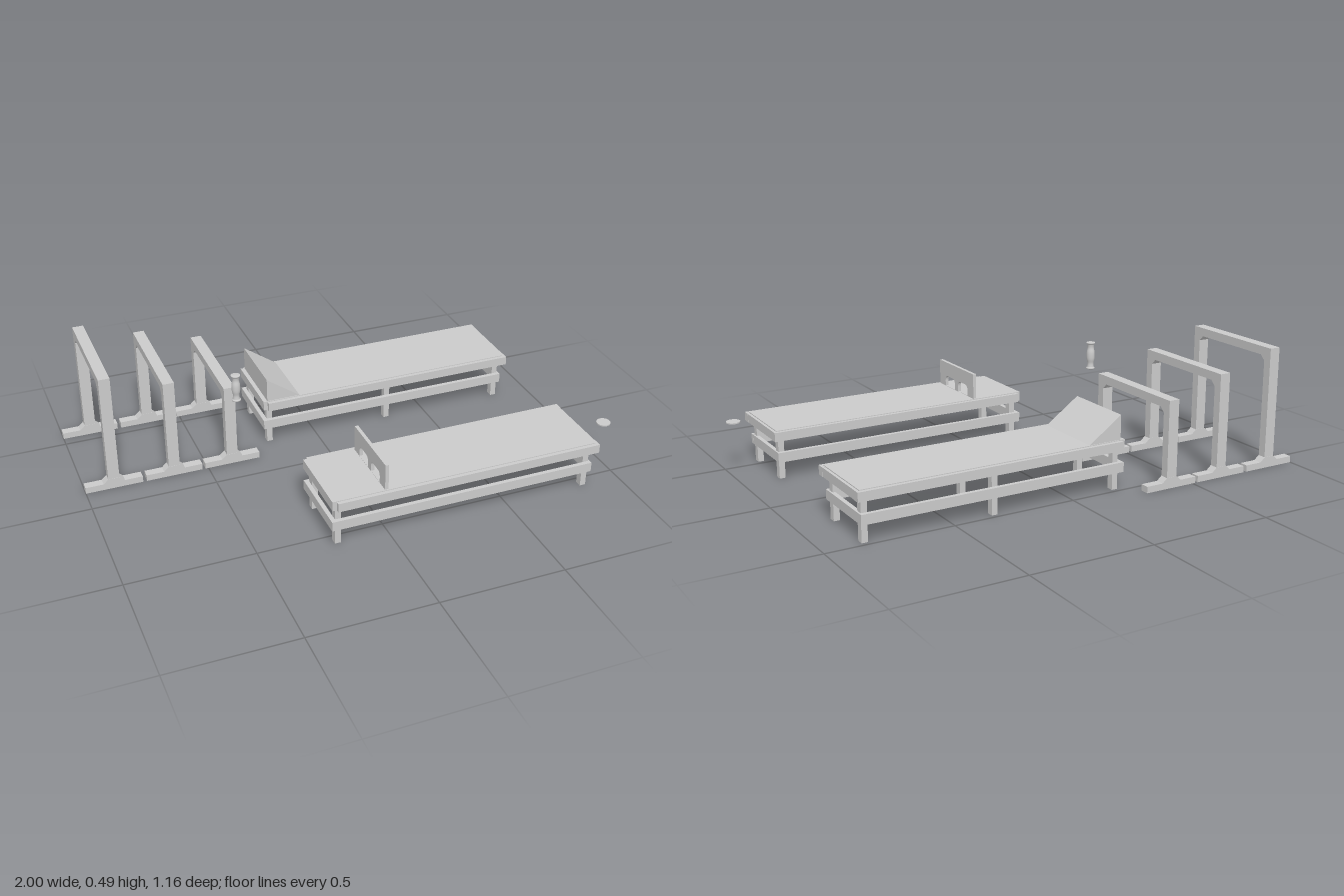
import * as THREE from 'three';

const mat = new THREE.MeshStandardMaterial({ color: 0xcccccc, flatShading: true });
const smooth = new THREE.MeshStandardMaterial({ color: 0xcccccc, side: THREE.DoubleSide });

function add(parent, name, geo, material = mat) {
  const m = new THREE.Mesh(geo, material);
  m.name = name;
  parent.add(m);
  return m;
}

// Box given by its minimum and maximum on each axis
function box(parent, name, x0, x1, y0, y1, z0, z1) {
  add(parent, name, new THREE.BoxGeometry(x1 - x0, y1 - y0, z1 - z0))
    .position.set((x0 + x1) / 2, (y0 + y1) / 2, (z0 + z1) / 2);
}

// Extrude a 2D outline, centred on its depth
function slab(points, depth, holes = []) {
  const shape = new THREE.Shape(points.map(p => new THREE.Vector2(...p)));
  shape.holes.push(...holes);
  return new THREE.ExtrudeGeometry(shape, { depth, bevelEnabled: false, curveSegments: 6 })
    .translate(0, 0, -depth / 2);
}

// Portal stand: two feet and an arch with braced corners
function createStand(h) {
  const g = new THREE.Group();
  g.name = 'stand';
  const o = 0.234, i = 0.2, t = h - 0.034, c = 0.021, w = 0.045;
  const arch = slab([[-o, 0], [-o, h], [o, h], [o, 0], [i, 0], [i, t - c],
    [i - c, t], [c - i, t], [-i, t - c], [-i, 0]], w).rotateY(Math.PI / 2);
  add(g, 'arch', arch);
  const foot = [[-0.115, 0], [0.115, 0], [0.115, 0.026], [0.043, 0.026], [0.0225, 0.044],
    [-0.0225, 0.044], [-0.043, 0.026], [-0.115, 0.026]];
  for (const s of [-1, 1]) add(g, 'foot', slab(foot, 0.036)).position.z = s * 0.217;
  return g;
}

// Bench: panel in an apron frame, legs and a ring of stretchers
function createBench(legXs) {
  const g = new THREE.Group();
  g.name = 'bench';
  box(g, 'panel', -0.23, 0.865, 0.185, 0.202, -0.152, 0.152);
  for (const s of [-1, 1]) {
    const side = (name, x0, x1, y0, y1, a, b) =>
      box(g, name, x0, x1, y0, y1, Math.min(s * a, s * b), Math.max(s * a, s * b));
    side('sideApron', -0.213, 0.877, 0.163, 0.199, 0.133, 0.167);
    side('sideStretcher', -0.213, 0.86, 0.071, 0.11, 0.133, 0.15);
    for (const x of legXs) side('leg', x - 0.012, x + 0.012, 0, 0.19, 0.105, 0.133);
  }
  box(g, 'endApron', 0.852, 0.876, 0.1635, 0.1985, -0.135, 0.135);
  box(g, 'endApron', -0.23, -0.213, 0.163, 0.199, -0.152, 0.152);
  box(g, 'endStretcher', 0.843, 0.8595, 0.0715, 0.1095, -0.135, 0.135);
  box(g, 'endStretcher', -0.23, -0.213, 0.071, 0.11, -0.15, 0.15);
  return g;
}

// Opening with rounded upper corners
function opening(u0, u1, y0, y1, r) {
  const p = new THREE.Path();
  p.moveTo(u0, y0).lineTo(u1, y0).lineTo(u1, y1 - r);
  p.quadraticCurveTo(u1, y1, u1 - r, y1).lineTo(u0 + r, y1);
  p.quadraticCurveTo(u0, y1, u0, y1 - r).lineTo(u0, y0);
  return p;
}

export function createModel() {
  const root = new THREE.Group();
  root.name = 'benchesAndStands';

  // Three stands of falling height
  [[-0.885, 0.49], [-0.64, 0.42], [-0.398, 0.35]].forEach(([x, h]) => {
    const stand = createStand(h);
    stand.position.set(x, 0, -0.345);
    root.add(stand);
  });

  // Rear bench with a sloping headrest
  const rear = createBench([-0.201, 0.327, 0.841]);
  rear.position.z = -0.348;
  add(rear, 'wedgeHeadrest', slab([[-0.213, 0.2], [-0.07, 0.2], [-0.213, 0.3]], 0.297));
  root.add(rear);

  // Front bench with an upright board
  const front = createBench([-0.201, 0.841]);
  front.position.z = 0.417;
  const holes = [opening(-0.097, -0.014, 0.203, 0.248, 0.022), opening(0.014, 0.097, 0.203, 0.248, 0.022)];
  const board = slab([[-0.147, 0.2], [0.147, 0.2], [0.147, 0.307], [-0.147, 0.307]], 0.014, holes);
  add(front, 'uprightBoard', board.rotateY(Math.PI / 2)).position.x = -0.014;
  root.add(front);

  // Turned handle
  const grip = new THREE.SplineCurve([[0.014, 0.353], [0.0125, 0.37], [0.0165, 0.39], [0.0165, 0.415],
    [0.0125, 0.435], [0.014, 0.45]].map(p => new THREE.Vector2(...p))).getPoints(20);
  const profile = [[0, 0.347], [0.018, 0.347], [0.018, 0.351]].map(p => new THREE.Vector2(...p))
    .concat(grip, [[0.018, 0.453], [0.018, 0.457], [0, 0.457]].map(p => new THREE.Vector2(...p)));
  add(root, 'handle', new THREE.LatheGeometry(profile, 24), smooth).position.set(-0.398, 0, -0.018);

  // Flat disc
  add(root, 'disc', new THREE.CylinderGeometry(0.028, 0.028, 0.005, 32))
    .position.set(0.971, 0.206, 0.457 - 0.003);
  return root;
}
